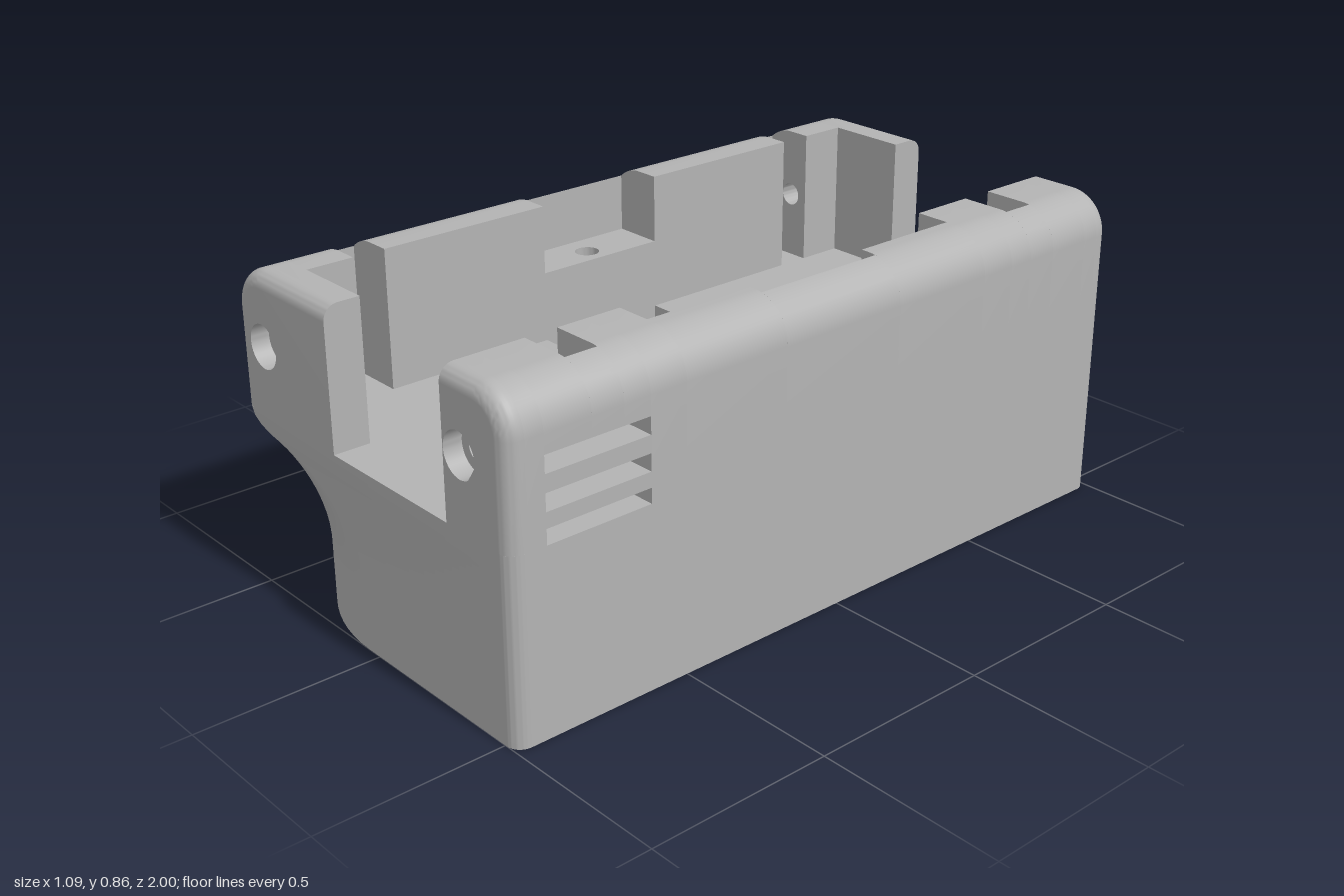
import * as THREE from 'three';
import { toCreasedNormals } from 'three/addons/utils/BufferGeometryUtils.js';

const X = 0.545, TOP = 0.86, FLOOR = 0.485, FILLET = 0.11, END_R = 0.04, DRILL_Y = 0.67;

const grey = new THREE.MeshStandardMaterial({ color: 0xb3b3b3, side: THREE.DoubleSide });
grey.name = 'plain grey';

// Plan outlines, counter-clockwise in (x, z)
const V = (x, z) => new THREE.Vector2(x, z);
const rect = (x0, z0, x1, z1) => [V(x0, z0), V(x1, z0), V(x1, z1), V(x0, z1)];
function roundedRect(x0, x1, half, rMinus, rPlus, n = 20) {
  const corners = [[x0, -half, rMinus, 1, 1], [x1, -half, rPlus, -1, 1], [x1, half, rPlus, -1, -1], [x0, half, rMinus, 1, -1]];
  const pts = [];
  corners.forEach(([x, z, r, sx, sz], k) => {
    for (let i = 0; i <= n; i++) {
      const a = Math.PI + (k + i / n) * Math.PI / 2;
      pts.push(V(x + sx * r + r * Math.cos(a), z + sz * r + r * Math.sin(a)));
    }
  });
  return pts;
}
function circle(x, y, r, n = 40) {
  const pts = [];
  for (let i = 0; i < n; i++) pts.push(V(x + r * Math.cos(i / n * 2 * Math.PI), y + r * Math.sin(i / n * 2 * Math.PI)));
  return pts;
}
function shapeOf(outline, holes = []) {
  const s = new THREE.Shape(outline);
  s.holes = holes.map(h => new THREE.Path(h));
  return s;
}

// Horizontal face with holes
function face(outline, holes, y, up) {
  const g = new THREE.ShapeGeometry(shapeOf(outline, holes));
  g.rotateX(Math.PI / 2).translate(0, y, 0);
  if (up) g.index.array.reverse();
  g.computeVertexNormals();
  return g;
}
// Vertical skin through matching rings [outline, y]; it faces inward unless outward is set
function skin(rings, outward = false) {
  const pos = [], idx = [], n = rings[0][0].length;
  for (const [pts, y] of rings) for (const p of pts) pos.push(p.x, y, p.y);
  for (let k = 0; k < rings.length - 1; k++) for (let i = 0; i < n; i++) {
    const a = k * n + i, b = k * n + (i + 1) % n, c = b + n, d = a + n;
    if (outward) idx.push(a, c, b, a, d, c);
    else idx.push(a, b, c, a, c, d);
  }
  const g = new THREE.BufferGeometry();
  g.setAttribute('position', new THREE.Float32BufferAttribute(pos, 3));
  g.setIndex(idx);
  return toCreasedNormals(g, 0.6);
}

// Wall cross-section in (x, y), with the rounded upper outer edge
function wallProfile(side, inner, y0 = FLOOR) {
  const pts = [V(side * inner, y0), V(side * X, y0)], cx = X - FILLET;
  const end = inner > cx ? Math.acos((inner - cx) / FILLET) : Math.PI / 2;
  for (let i = 0; i <= 14; i++) {
    const a = end * i / 14;
    pts.push(V(side * (cx + FILLET * Math.cos(a)), TOP - FILLET + FILLET * Math.sin(a)));
  }
  if (inner < cx) pts.push(V(side * inner, TOP));
  return pts;
}
// Run of wall along z
function run(outline, z0, z1, holes = []) {
  const g = new THREE.ExtrudeGeometry(shapeOf(outline, holes), { depth: z1 - z0, bevelEnabled: false });
  g.translate(0, 0, z0);
  return toCreasedNormals(g, 0.5);
}
// Last run of a wall: the outer edges curve in toward the end face
function endRun(outline, holes, dir) {
  const mid = 1 - END_R, steps = 10, g = new THREE.ExtrudeGeometry(shapeOf(outline, holes), { depth: 1, steps, bevelEnabled: false });
  const p = g.attributes.position;
  for (let i = 0; i < p.count; i++) {
    const k = Math.round((dir > 0 ? p.getZ(i) : 1 - p.getZ(i)) * steps);
    const a = Math.max(0, k - 1) / (steps - 1) * Math.PI / 2;
    const z = k === 0 ? 0.95 : mid + END_R * Math.sin(a), d = END_R * (1 - Math.cos(a));
    const x = p.getX(i), y = p.getY(i);
    const qx = Math.max(Math.abs(x) - X + FILLET, 0), qy = Math.max(y - TOP + FILLET, 0), L = Math.hypot(qx, qy);
    const on = L > FILLET - 0.002 ? d / L : 0;
    p.setXYZ(i, x - Math.sign(x) * qx * on, y - qy * on, dir * z);
  }
  return toCreasedNormals(g, 0.5);
}
// Block standing on the floor
function block(outline, holes, top) {
  const g = new THREE.ExtrudeGeometry(shapeOf(outline, holes), { depth: top - FLOOR, bevelEnabled: false });
  g.rotateX(Math.PI / 2).translate(0, top, 0);
  return toCreasedNormals(g, 0.5);
}

export function createModel() {
  const model = new THREE.Group();
  model.name = 'housing';
  const add = (name, g) => {
    const m = new THREE.Mesh(g, grey);
    m.name = name;
    model.add(m);
  };

  // Base skin: broad corners flare out to the square upper body
  const plan = r => roundedRect(-X, X, 1, r, END_R);
  const rings = [[plan(0.5), 0], [plan(0.5), 0.18]];
  for (let i = 1; i <= 14; i++) {
    const a = i / 14 * 1.37;
    rings.push([plan(0.5 - 0.46 * (1 - Math.cos(a))), 0.18 + 0.26 * Math.sin(a)]);
  }
  rings.push([plan(0.085), 0.447], [plan(0.055), 0.462], [plan(END_R), FLOOR]);
  add('baseSkin', skin(rings, true));

  // Openings
  const bores = [-0.54, 0.54].map(z => circle(-0.03, z, 0.133));
  const sideSlots = [rect(0.315, -0.497, 0.41, -0.232), rect(0.315, 0.232, 0.41, 0.497)];
  const centreSlot = rect(0.05, -0.06, 0.4, 0.06);
  const pin = circle(-0.43, 0, 0.033);
  const screws = [[0.445, -0.89], [0.445, 0.89], [-0.435, -0.58], [-0.435, 0.58]].map(([x, z]) => circle(x, z, 0.033));
  const pocket = roundedRect(0.035, 0.425, 0.505, 0.2, 0.005);
  const trough = [V(-0.37, -0.19), V(0.315, -0.19), V(0.315, -0.06), V(0.4, -0.06),
    V(0.4, 0.06), V(0.315, 0.06), V(0.315, 0.19), V(-0.37, 0.19)];
  const POCKET_Y = 0.1, TROUGH_Y = 0.3;

  add('underside', face(plan(0.5), [pocket, pin, ...bores, ...screws], 0, false));
  add('floor', face(plan(END_R), [trough, pin, ...bores, ...sideSlots], FLOOR, true));
  add('pocketWall', skin([[pocket, 0], [pocket, POCKET_Y]]));
  add('pocketCeiling', face(pocket, [centreSlot, ...sideSlots], POCKET_Y, false));
  add('troughWall', skin([[trough, TROUGH_Y], [trough, FLOOR]]));
  add('troughFloor', face(rect(-0.37, -0.19, 0.315, 0.19), [rect(0.05, -0.06, 0.3149, 0.06)], TROUGH_Y, true));
  add('centreSlotWall', skin([[centreSlot, POCKET_Y], [centreSlot, TROUGH_Y]]));
  add('pinHole', skin([[pin, 0], [pin, FLOOR]]));
  bores.forEach(c => add('bore', skin([[c, 0], [c, FLOOR]])));
  sideSlots.forEach(c => add('sideSlotWall', skin([[c, POCKET_Y], [c, FLOOR]])));
  screws.forEach(c => {
    add('screwHole', skin([[c, 0], [c, 0.15]]));
    add('screwHoleEnd', face(c, [], 0.15, false));
  });

  // Middle supports
  add('rightLedge', block(rect(-0.51, -0.19, -0.37, 0.19), [pin], 0.675));
  add('leftPosts', block([V(0.315, -0.19), V(0.455, -0.19), V(0.455, 0.19), V(0.315, 0.19),
    V(0.315, 0.06), V(0.4, 0.06), V(0.4, -0.06), V(0.315, -0.06)], [], 0.63));

  // Walls, mirrored front to back
  const drillR = circle(-0.43, DRILL_Y, 0.032), boreR = circle(-0.43, DRILL_Y, 0.058);
  const drillL = circle(0.375, DRILL_Y, 0.032), boreL = circle(0.375, DRILL_Y, 0.058);
  add('rightWall', run(wallProfile(-1, 0.51), -0.19, 0.19));
  add('leftWall', run(wallProfile(1, 0.455), -0.19, 0.19));
  for (const dir of [1, -1]) {
    const both = (name, outline, a, b, holes) =>
      add(name, run(outline, Math.min(dir * a, dir * b), Math.max(dir * a, dir * b), holes));
    both('rightWall', wallProfile(-1, 0.37), 0.19, 0.68);
    both('rightWall', wallProfile(-1, 0.51), 0.68, 0.77);
    both('rightWall', wallProfile(-1, 0.37), 0.77, 0.9, [drillR]);
    both('rightEnd', wallProfile(-1, 0.14), 0.9, 0.95, [drillR]);
    add('rightEnd', endRun(wallProfile(-1, 0.14), [boreR], dir));

    both('leftWall', wallProfile(1, 0.41), 0.19, 0.5);
    both('leftWall', wallProfile(1, 0.315), 0.5, 0.605, [drillL]);
    // Vent slots pierce the left wall near the front only
    for (const [a, b, inner] of [[0.605, 0.68, 0.315], [0.68, 0.77, 0.455], [0.77, 0.9, 0.315]]) {
      if (dir < 0) {
        both('leftWall', wallProfile(1, inner), a, b, inner < 0.4 ? [drillL] : []);
        continue;
      }
      both('ventBar', rect(inner, 0.525, X, 0.565), a, b);
      both('ventBar', inner > 0.4 ? rect(inner, 0.61, X, 0.655) : [V(inner, 0.61), V(X, 0.61), V(X, 0.655),
        V(0.405, 0.655), V(0.39, 0.641), V(0.36, 0.641), V(0.345, 0.655), V(inner, 0.655)], a, b);
      both('ventTop', wallProfile(1, inner, 0.7), a, b);
    }
    both('leftEnd', wallProfile(1, 0.315), 0.9, 0.95, [drillL]);
    add('leftEnd', endRun(wallProfile(1, 0.315), [boreL], dir));
  }
  return model;
}
